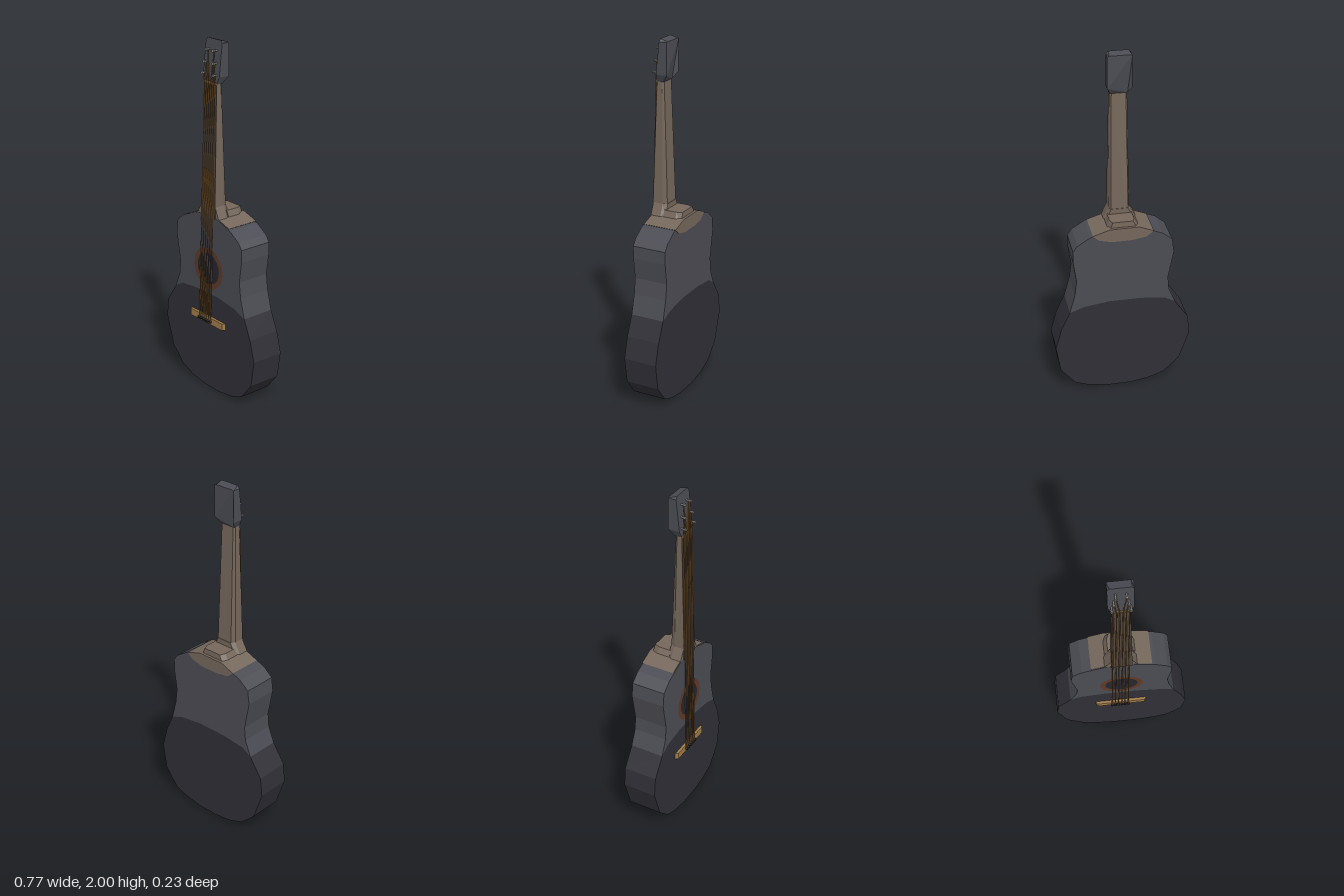
import * as THREE from 'three';

const mat = (name, color, extra = {}) => {
  const m = new THREE.MeshStandardMaterial({ color, ...extra });
  m.name = name;
  return m;
};

const shapeOf = pts => new THREE.Shape(pts.map(p => new THREE.Vector2(p[0], p[1])));

// Flat-sided slab of an outline between two depths
function slab(pts, z0, z1) {
  const g = new THREE.ExtrudeGeometry(shapeOf(pts), { depth: z1 - z0, bevelEnabled: false });
  return g.translate(0, 0, z0);
}

// Tapering bar with chamfered back edges; ends are [y, left, right, back, front]
function taperedBar(a, b, chamfer = 0.82) {
  const section = [[-1, 1], [-1, 0.3], [-chamfer, 0], [chamfer, 0], [1, 0.3], [1, 1]];
  const g = slab(section, 0, 1);
  const p = g.attributes.position;
  for (let i = 0; i < p.count; i++) {
    const e = a.map((v, k) => THREE.MathUtils.lerp(v, b[k], 1 - p.getZ(i)));
    const u = (p.getX(i) + 1) / 2, v = p.getY(i);
    p.setXYZ(i, e[1] + (e[2] - e[1]) * u, e[0], e[3] + (e[4] - e[3]) * v);
  }
  g.computeVertexNormals();
  return g;
}

export function createModel() {
  const guitar = new THREE.Group();
  guitar.name = 'guitar';
  const slate = mat('slate', 0x4b4c53);
  const dark = mat('darkSlate', 0x302f37);
  const wood = mat('brownWood', 0x75675b);
  const board = mat('fretboardBrown', 0x50453c);
  const tan = mat('tanWood', 0xa07c4a);
  const brass = mat('stringBrass', 0x8a6234);
  const ringBrown = mat('ringBrown', 0x5e3a28);
  const holeDark = mat('holeDark', 0x26262e);
  const metal = mat('tunerMetal', 0x8a8780);
  const pinDark = mat('pinDark', 0x2a2520);

  const add = (name, geo, material, parent = guitar) => {
    const m = new THREE.Mesh(geo, material);
    m.name = name;
    parent.add(m);
    return m;
  };

  // Body: two colour halves meeting along a curved line
  const border = [[-0.3, 0.53], [-0.24, 0.565], [-0.1, 0.58], [0.08, 0.58], [0.22, 0.56], [0.3, 0.53]];
  const lower = [
    [0.35, 0.42], [0.383, 0.3], [0.36, 0.15], [0.28, 0.05], [0.2, 0.02], [0.09, 0.003],
    [-0.04, 0.003], [-0.15, 0.02], [-0.24, 0.053], [-0.33, 0.14], [-0.387, 0.31], [-0.375, 0.42],
  ];
  const top = [
    [0.275, 0.92], [0.25, 0.955], [0.18, 1.0], [0.07, 1.035], [-0.09, 1.035],
    [-0.22, 0.985], [-0.275, 0.94],
  ];
  const upper = [
    ...border, [0.27, 0.64], [0.258, 0.73], [0.275, 0.85], ...top,
    [-0.285, 0.86], [-0.255, 0.7], [-0.262, 0.62],
  ];
  add('lowerBody', slab([...border, ...lower], -0.11, 0.084), dark);
  add('upperBody', slab(upper, -0.11, 0.084), slate);

  // Brown shoulder wrapping over the top and the back edge
  const shoulder = [
    [-0.17, 1.008], [-0.13, 0.975], [-0.05, 0.962], [0.06, 0.962], [0.13, 0.978],
    [0.165, 1.009], [0.07, 1.039], [-0.09, 1.039],
  ];
  add('shoulder', slab(shoulder, -0.113, 0.08), wood);

  // Sound hole
  const ring = add('soundHoleRing', new THREE.RingGeometry(0.092, 0.122, 20), ringBrown);
  ring.position.set(-0.003, 0.73, 0.0865);
  const hole = add('soundHole', new THREE.CircleGeometry(0.094, 20), holeDark);
  hole.position.set(-0.003, 0.73, 0.086);

  // Heel, flare and neck
  add('heel', taperedBar([1.0, -0.115, 0.095, -0.1, 0.01], [1.07, -0.07, 0.065, -0.095, 0.01]), wood);
  add('neckFlare', taperedBar([1.02, -0.105, 0.09, 0, 0.083], [1.1, -0.06, 0.055, 0, 0.083]), wood);
  add('neck', taperedBar([1.03, -0.062, 0.056, 0, 0.084], [1.775, -0.05, 0.044, 0.025, 0.06]), wood);
  add('fretboard', taperedBar([1.03, -0.062, 0.056, 0.083, 0.088], [1.775, -0.05, 0.044, 0.059, 0.064], 1), board);
  const nut = add('nut', new THREE.BoxGeometry(0.094, 0.012, 0.016), tan);
  nut.position.set(-0.003, 1.772, 0.062);

  // Head: thinner towards the top, cut away behind at its foot
  const headOutline = [
    [-0.05, 1.77], [0.044, 1.77], [0.062, 1.81], [0.062, 1.985], [0.05, 2.0],
    [-0.058, 2.0], [-0.07, 1.985], [-0.07, 1.81],
  ];
  const headGeo = slab(headOutline, 0, 1);
  const hp = headGeo.attributes.position;
  const headFront = y => 0.065 - (y - 1.77) * 0.11;
  for (let i = 0; i < hp.count; i++) {
    const y = hp.getY(i), front = hp.getZ(i) > 0.5;
    hp.setZ(i, front ? headFront(y) : y < 1.8 ? 0.025 : -0.004);
    if (!front && y > 1.99) hp.setY(i, 1.988);
  }
  headGeo.computeVertexNormals();
  add('head', headGeo, slate);

  // Bridge with sloping ends
  const bridgeGeo = new THREE.BoxGeometry(0.3, 0.04, 0.018);
  const bp = bridgeGeo.attributes.position;
  for (let i = 0; i < bp.count; i++) if (bp.getZ(i) > 0) bp.setX(i, bp.getX(i) * 0.92);
  bridgeGeo.computeVertexNormals();
  add('bridge', bridgeGeo, tan).position.set(-0.006, 0.425, 0.091);

  // Strings, bridge pins and tuning pegs
  const strings = new THREE.Group();
  strings.name = 'strings';
  guitar.add(strings);
  const pegRows = [[1.82, 0.047], [1.88, 0.037], [1.945, 0.027]];
  for (let i = 0; i < 6; i++) {
    const t = i / 5;
    const side = i < 3 ? -1 : 1;
    const [pegY, pegX] = pegRows[i < 3 ? i : 5 - i];
    const x0 = -0.06 + 0.095 * t;
    const peg = new THREE.Vector3(-0.003 + side * pegX, pegY, headFront(pegY) + 0.016);
    const path = new THREE.CurvePath();
    const stops = [
      new THREE.Vector3(x0, 0.425, 0.102),
      new THREE.Vector3(-0.043 + 0.08 * t, 1.772, 0.073),
      peg,
    ];
    path.add(new THREE.LineCurve3(stops[0], stops[1]));
    path.add(new THREE.LineCurve3(stops[1], stops[2]));
    path.curves.forEach(c => add('string', new THREE.TubeGeometry(c, 1, 0.0035, 5), brass, strings));

    const pin = add('bridgePin', new THREE.CylinderGeometry(0.008, 0.008, 0.018, 8), pinDark);
    pin.rotation.x = Math.PI / 2;
    pin.position.set(x0, 0.424, 0.104);

    const post = add('tuningPeg', new THREE.CylinderGeometry(0.005, 0.005, 0.034, 8), metal);
    post.rotation.x = Math.PI / 2;
    post.position.set(peg.x, pegY, headFront(pegY) + 0.011);
    const cap = add('tuningPegCap', new THREE.CylinderGeometry(0.009, 0.009, 0.006, 8), metal);
    cap.rotation.x = Math.PI / 2;
    cap.position.set(peg.x, pegY, headFront(pegY) + 0.026);
  }
  return guitar;
}
